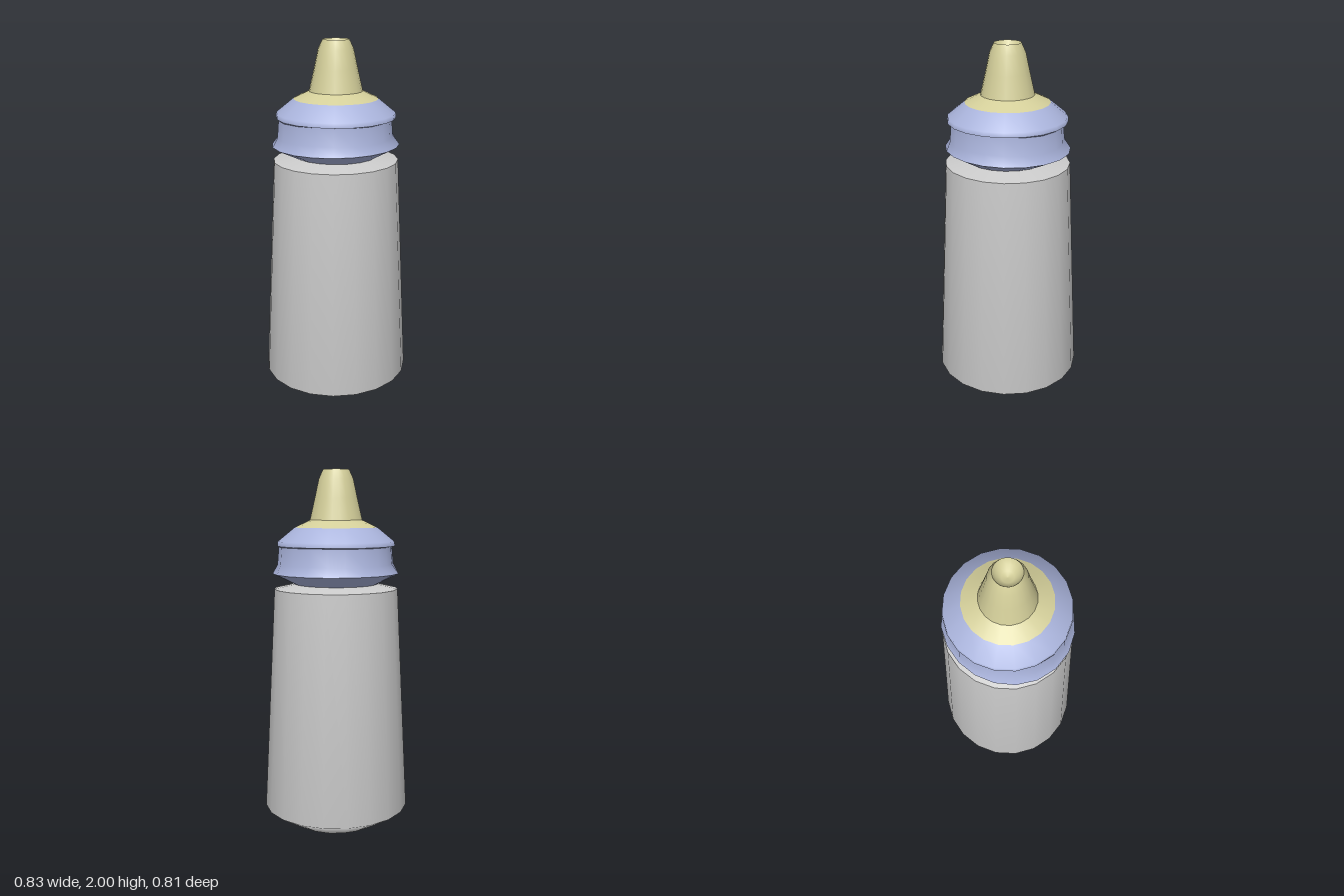
import * as THREE from 'three';

const SIDES = 20;
const materials = {
  grey: new THREE.MeshStandardMaterial({ color: 0xcccccc, side: THREE.DoubleSide }),
  blue: new THREE.MeshStandardMaterial({ color: 0xaab4dc, side: THREE.DoubleSide }),
  cream: new THREE.MeshStandardMaterial({ color: 0xd4cf9a, side: THREE.DoubleSide }),
};

// One smooth turned surface; separate surfaces meet at a sharp edge
function turned(name, material, profile) {
  const points = profile.map(([r, y]) => new THREE.Vector2(r, y));
  const mesh = new THREE.Mesh(new THREE.LatheGeometry(points, SIDES), materials[material]);
  mesh.name = name;
  return mesh;
}

// Push a surface's rings in or out by a rule of angle and height
function reshape(mesh, rule) {
  const p = mesh.geometry.attributes.position;
  for (let i = 0; i < p.count; i++) {
    const k = rule(Math.atan2(p.getZ(i), p.getX(i)), p.getY(i));
    p.setX(i, p.getX(i) * k);
    p.setZ(i, p.getZ(i) * k);
  }
  return mesh;
}

export function createModel() {
  const model = new THREE.Group();

  // Bottle: flat base, chamfered tapering wall, sloping shoulder
  const bottle = new THREE.Group();
  bottle.name = 'bottle';
  bottle.scale.z = 0.985;
  bottle.add(
    turned('base', 'grey', [[0, 0], [0.25, 0]]),
    turned('wall', 'grey', [[0.25, 0], [0.413, 0.1], [0.345, 1.355]]),
    turned('shoulder', 'grey', [[0.345, 1.355], [0.23, 1.38]]),
  );

  // Collar: the grip is slightly oval, with shallow dents on the diagonals
  const grip = (a, y) => {
    if (y > 1.588) return 1;
    if (y < 1.4) return 1;
    const oval = 0.03 * Math.cos(2 * a);
    return y < 1.45 ? 1 + oval : 1 + 0.6 * oval + 0.035 * Math.cos(4 * a);
  };
  const collar = new THREE.Group();
  collar.name = 'collar';
  collar.add(
    reshape(turned('collarUnderside', 'blue', [[0.23, 1.38], [0.345, 1.44]]), grip),
    reshape(turned('collarGrip', 'blue', [[0.345, 1.44], [0.318, 1.49], [0.31, 1.585]]), grip),
    reshape(turned('collarLedge', 'blue', [[0.31, 1.585], [0.326, 1.59]]), grip),
    turned('collarTop', 'blue', [[0.326, 1.59], [0.323, 1.615], [0.23, 1.69]]),
  );

  // Teat: sloping flange, tapered spout and hollowed tip
  const teat = new THREE.Group();
  teat.name = 'teat';
  teat.add(
    turned('flange', 'cream', [[0.23, 1.69], [0.145, 1.73]]),
    turned('spout', 'cream', [[0.145, 1.73], [0.117, 1.85], [0.095, 1.95], [0.072, 2]]),
    turned('tipHollow', 'cream', [[0.072, 2], [0.055, 1.965], [0.03, 1.95], [0, 1.945]]),
  );

  model.add(bottle, collar, teat);
  return model;
}
